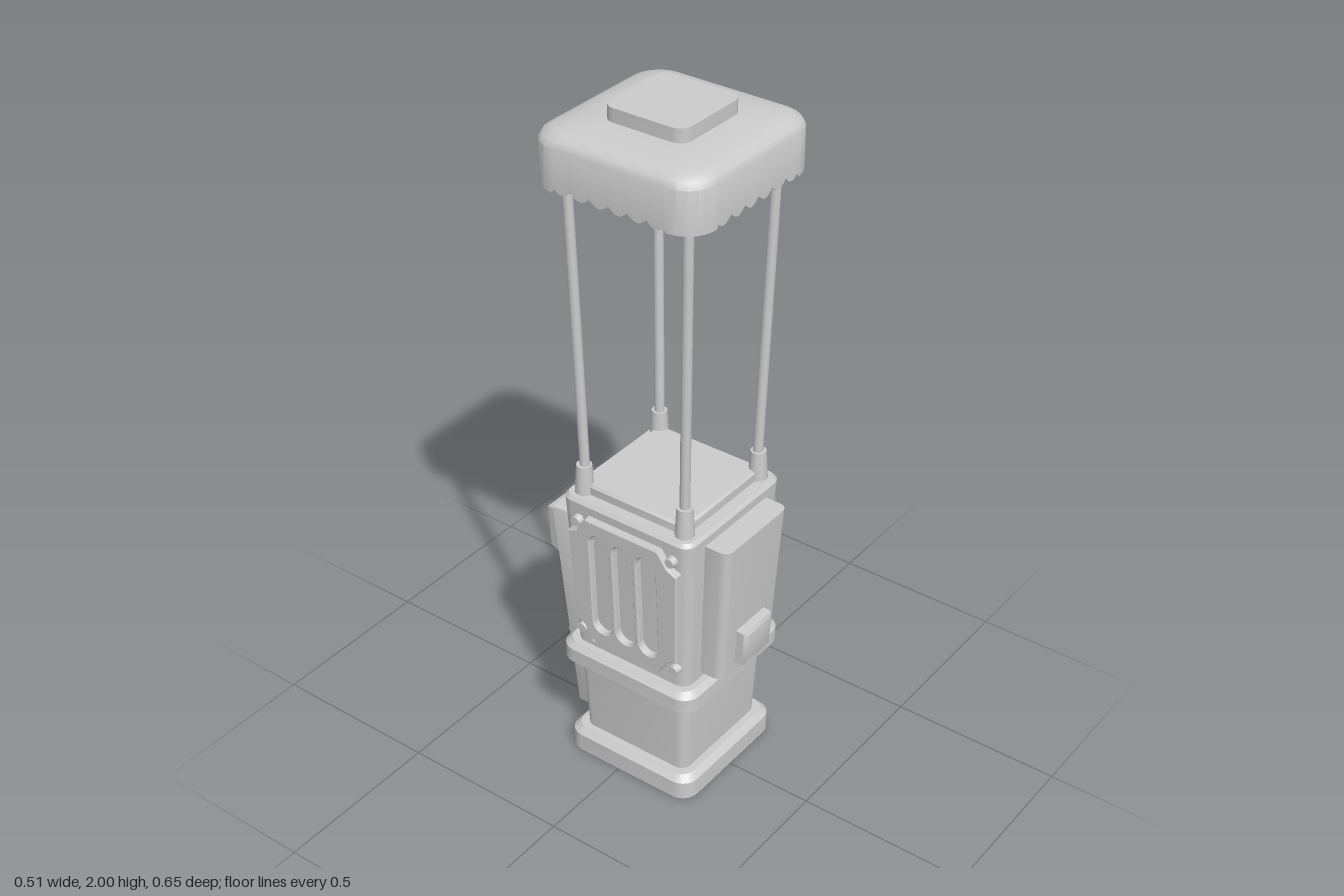
import * as THREE from 'three';
import { toCreasedNormals } from 'three/addons/utils/BufferGeometryUtils.js';

const CZ = 0.03; // body axis in z
const material = new THREE.MeshStandardMaterial({ color: 0xcccccc });

function add(parent, name, geometry, x = 0, y = 0, z = 0) {
  const m = new THREE.Mesh(geometry, material);
  m.name = name;
  m.position.set(x, y, z);
  parent.add(m);
  return m;
}

// Rounded rectangle ring in the xz plane; u runs 0..1 along each straight side
function ring({ y, w, d = w, r = 0.01, z = 0, taper = 0, lift = 0 }, sideSteps, arcSteps) {
  const pts = [];
  const signs = [[1, 1], [-1, 1], [-1, -1], [1, -1]];
  const corner = (k, a) => new THREE.Vector3(
    signs[k][0] * (w - r) + r * Math.cos(a), y, signs[k][1] * (d - r) + r * Math.sin(a));
  for (let k = 0; k < 4; k++) {
    const a0 = k * Math.PI / 2, a1 = a0 + Math.PI / 2;
    for (let i = 0; i <= arcSteps; i++) pts.push(corner(k, a0 + (a1 - a0) * i / arcSteps));
    const from = corner(k, a1), to = corner((k + 1) % 4, a1);
    for (let i = 1; i < sideSteps; i++) {
      const u = i / sideSteps, p = from.clone().lerp(to, u);
      p.y += lift * (1 - Math.abs(Math.sin(u * Math.PI * 6)));
      pts.push(p);
    }
  }
  for (const p of pts) {
    p.x *= 1 + taper * p.z / d;
    p.z += z;
  }
  return pts;
}

// Closed loft through rounded rectangle sections
function loft(sections, sideSteps = 1, arcSteps = 5) {
  const rings = sections.map((s) => ring(s, sideSteps, arcSteps));
  const n = rings[0].length, pos = [], index = [];
  for (const p of rings.flat()) pos.push(p.x, p.y, p.z);
  for (let j = 0; j < rings.length - 1; j++) {
    for (let i = 0; i < n; i++) {
      const a = j * n + i, b = j * n + (i + 1) % n;
      index.push(a, a + n, b, b, a + n, b + n);
    }
  }
  const first = sections[0], last = sections[sections.length - 1], c = rings.length * n;
  pos.push(0, first.y, first.z || 0, 0, last.y, last.z || 0);
  for (let i = 0; i < n; i++) {
    const k = (i + 1) % n, t = c - n;
    index.push(c, i, k, c + 1, t + k, t + i);
  }
  const g = new THREE.BufferGeometry();
  g.setAttribute('position', new THREE.Float32BufferAttribute(pos, 3));
  g.setIndex(index);
  return toCreasedNormals(g, 0.6);
}

// Side panel with cut corners and three upright slots
function ventGeometry() {
  const s = new THREE.Shape();
  const w = 0.18, h = 0.21, c = 0.06;
  s.moveTo(-w + c, -h);
  s.lineTo(w - c - 0.01, -h);
  s.lineTo(w - 0.035, -h + 0.05);
  s.lineTo(w - 0.01, -h + c);
  s.lineTo(w, h - c);
  s.lineTo(w - 0.03, h - 0.045);
  s.lineTo(w - c, h);
  s.lineTo(-w + c, h);
  s.lineTo(-w + 0.03, h - 0.045);
  s.lineTo(-w, h - c);
  s.lineTo(-w + 0.01, -h + c);
  s.lineTo(-w + 0.035, -h + 0.05);
  s.lineTo(-w + c + 0.01, -h);
  for (const x of [-0.078, 0, 0.078]) {
    const hole = new THREE.Path(), r = 0.031, k = 0.135;
    hole.absarc(x, k, r, 0, Math.PI, false);
    hole.absarc(x, -k, r, Math.PI, Math.PI * 2, false);
    hole.closePath();
    s.holes.push(hole);
  }
  return new THREE.ExtrudeGeometry(s, {
    depth: 0.018, bevelSize: 0.004, bevelOffset: -0.004, bevelThickness: 0.004, bevelSegments: 1, curveSegments: 10 });
}

export function createModel() {
  const model = new THREE.Group();
  const tower = new THREE.Group();
  tower.name = 'tower';
  tower.position.z = CZ;
  model.add(tower);

  // Stacked housing
  add(tower, 'foot', loft([
    { y: 0, w: 0.207, r: 0.045 }, { y: 0.005, w: 0.212, r: 0.05 },
    { y: 0.06, w: 0.212, r: 0.05 }, { y: 0.078, w: 0.195, r: 0.04 }]));
  add(tower, 'lowerBody', loft([{ y: 0.07, w: 0.174, r: 0.03 }, { y: 0.34, w: 0.186, r: 0.03 }]));
  add(tower, 'collar', loft([
    { y: 0.322, w: 0.212, r: 0.04 }, { y: 0.332, w: 0.224, r: 0.05 },
    { y: 0.375, w: 0.224, r: 0.05 }, { y: 0.392, w: 0.208, r: 0.04 }]));
  add(tower, 'upperBody', loft([
    { y: 0.38, w: 0.19, r: 0.035 }, { y: 0.875, w: 0.212, r: 0.035 }, { y: 0.885, w: 0.204, r: 0.03 }]));
  add(tower, 'deck', loft([
    { y: 0.87, w: 0.172, r: 0.02 }, { y: 0.908, w: 0.172, r: 0.02 }, { y: 0.915, w: 0.166, r: 0.016 }]));

  // Corner poles in sockets
  const socket = new THREE.CylinderGeometry(0.022, 0.028, 0.1, 12);
  const up = new THREE.Vector3(0, 1, 0);
  for (const sx of [-1, 1]) {
    for (const sz of [-1, 1]) {
      add(tower, 'poleSocket', socket, sx * 0.165, 0.92, sz * 0.165);
      const a = new THREE.Vector3(sx * 0.163, 0.93, sz * 0.163);
      const b = new THREE.Vector3(sx * 0.186, 1.91, sz * 0.186);
      const dir = b.clone().sub(a);
      const pole = add(tower, 'pole', new THREE.CylinderGeometry(0.014, 0.014, dir.length(), 12));
      pole.position.copy(a).add(b).multiplyScalar(0.5);
      pole.quaternion.setFromUnitVectors(up, dir.normalize());
    }
  }

  // Hollow canopy with scalloped skirt
  add(tower, 'canopy', loft([
    { y: 1.905, w: 0.238, r: 0.07 }, { y: 1.805, w: 0.238, r: 0.07, lift: 0.016 },
    { y: 1.805, w: 0.255, r: 0.085, lift: 0.016 }, { y: 1.922, w: 0.255, r: 0.085 },
    { y: 1.938, w: 0.246, r: 0.08 }, { y: 1.949, w: 0.226, r: 0.07 },
    { y: 1.956, w: 0.19, r: 0.055 }, { y: 1.962, w: 0.12, r: 0.035 }], 48));
  add(tower, 'canopyCap', loft([{ y: 1.95, w: 0.122, r: 0.035 }, { y: 2, w: 0.122, r: 0.035 }]));

  // Front door, rounded on its upright edges, with a small box
  add(model, 'frontDoor', loft([
    { y: 0.41, w: 0.124, d: 0.06, r: 0.025, z: 0.228 },
    { y: 0.85, w: 0.138, d: 0.06, r: 0.025, z: 0.253 }]));
  const latch = add(model, 'frontBox', loft([
    { y: -0.03, w: 0.066, d: 0.058, r: 0.003 }, { y: 0.022, w: 0.064, d: 0.056, r: 0.003 },
    { y: 0.03, w: 0.054, d: 0.047, r: 0.003 }], 1, 1), 0, 0.495, 0.294);
  latch.rotation.x = Math.PI / 2 + 0.05;

  // Vent panels on both sides
  const vent = ventGeometry();
  const bolt = new THREE.CylinderGeometry(0.014, 0.018, 0.022, 10);
  for (const s of [-1, 1]) {
    const side = new THREE.Group();
    side.name = s > 0 ? 'leftVent' : 'rightVent';
    side.position.set(s * 0.2, 0.64, CZ + 0.005);
    side.rotation.set(0.045, s * Math.PI / 2, 0, 'YXZ');
    add(side, 'ventPanel', vent);
    for (const x of [-0.155, 0.155]) {
      for (const y of [-0.185, 0.185]) add(side, 'ventBolt', bolt, x, y, 0.008).rotation.x = Math.PI / 2;
    }
    tower.add(side);
    side.position.z = 0.005;
  }

  // Leaning back plate; local y points outwards, local z upwards
  const back = new THREE.Group();
  back.name = 'backPlateAssembly';
  back.position.set(0, 0.445, -0.223);
  back.rotation.x = -Math.PI / 2 - 0.065;
  model.add(back);
  add(back, 'backPlate', loft([
    { y: -0.07, w: 0.15, d: 0.345, r: 0.006, taper: 0.13 },
    { y: 0, w: 0.15, d: 0.345, r: 0.006, taper: 0.13 }], 1, 2));
  add(back, 'upperBackBox', loft([
    { y: -0.01, w: 0.118, d: 0.084, r: 0.003, z: 0.21 },
    { y: 0.083, w: 0.097, d: 0.066, r: 0.003, z: 0.21 }], 1, 1));
  add(back, 'lowerBackBox', loft([
    { y: -0.01, w: 0.07, d: 0.182, r: 0.003, z: -0.107, taper: -0.25 },
    { y: 0.048, w: 0.05, d: 0.154, r: 0.003, z: -0.107, taper: -0.25 }], 1, 1));
  for (const [x, z] of [[0.137, 0.318], [0.122, -0.095], [0.105, -0.318]]) {
    for (const s of [-1, 1]) add(back, 'backBolt', bolt, s * x, 0.001, z);
  }
  return model;
}
